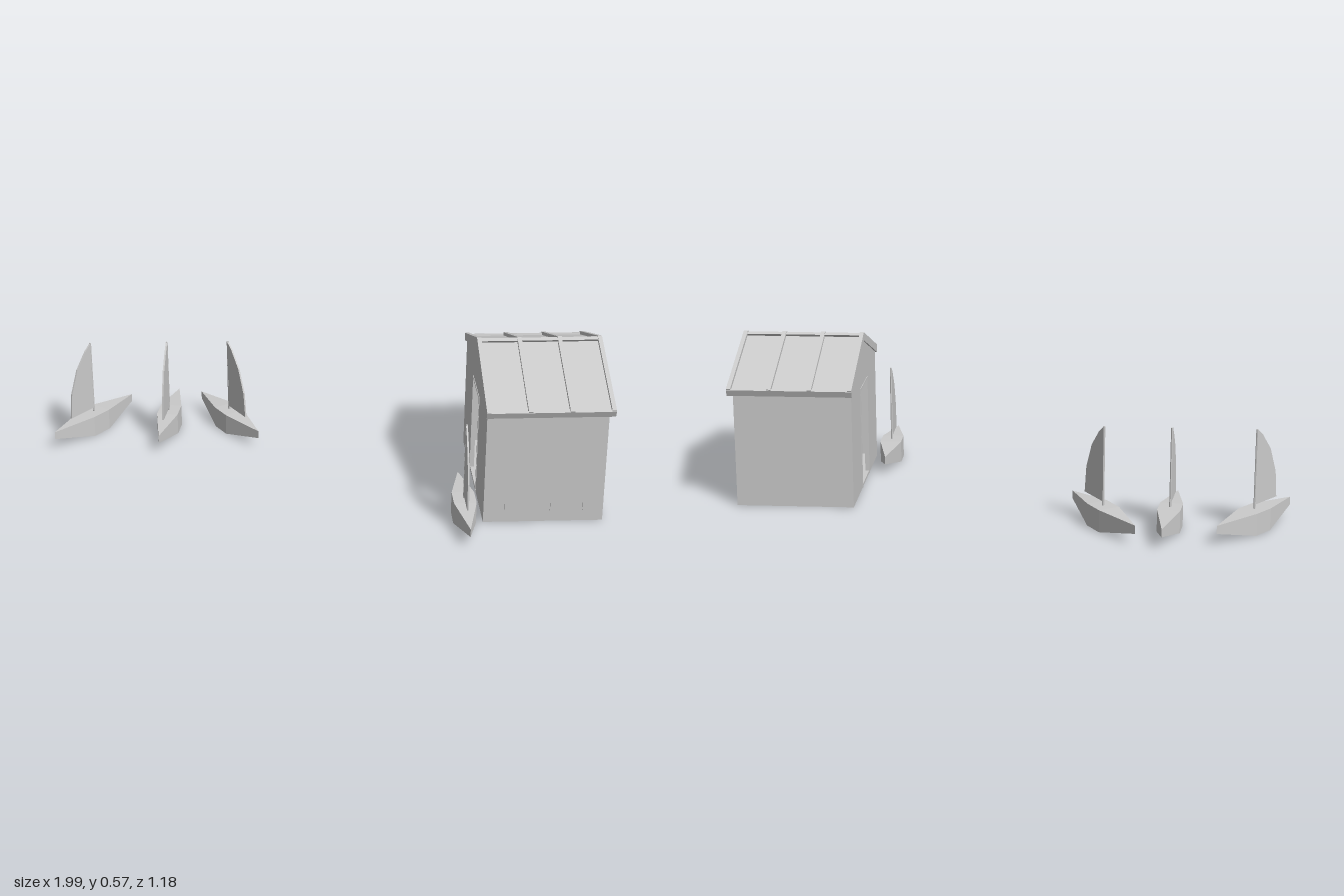
import * as THREE from 'three';

const material = new THREE.MeshStandardMaterial({ color: 0xcccccc, flatShading: true, side: THREE.DoubleSide });

function addMesh(parent, name, geometry, x = 0, y = 0, z = 0) {
  const mesh = new THREE.Mesh(geometry, material);
  mesh.name = name;
  mesh.position.set(x, y, z);
  parent.add(mesh);
  return mesh;
}

const shapeOf = (points) => new THREE.Shape(points.map(([u, v]) => new THREE.Vector2(u, v)));

// Extrudes a (z, y) outline along x, from x0 to x0 + width
function extrudeAlongX(shape, x0, width) {
  const geometry = new THREE.ExtrudeGeometry(shape, { depth: width, bevelEnabled: false });
  return geometry.rotateY(-Math.PI / 2).translate(x0 + width, 0, 0);
}

// Hull: stations of [z, half beam, deck y, chine y]; the underside folds up to a centre line
function hullGeometry() {
  const tunnel = 0.042;
  const stations = [
    [-0.213, 0, 0.071, 0.042], [-0.04, 0.04, 0.08, 0],
    [0.04, 0.04, 0.08, 0], [0.213, 0, 0.071, 0.042],
  ];
  const rings = stations.map(([z, w, top, low]) => [
    [-w, top, z], [w, top, z], [w, low, z], [0, tunnel, z], [-w, low, z],
  ]);
  const positions = [];
  for (let i = 0; i < rings.length - 1; i++) {
    for (let j = 0; j < 5; j++) {
      const k = (j + 1) % 5;
      const a = rings[i][j], b = rings[i][k], c = rings[i + 1][k], d = rings[i + 1][j];
      positions.push(...a, ...d, ...b, ...b, ...d, ...c);
    }
  }
  const geometry = new THREE.BufferGeometry();
  geometry.setAttribute('position', new THREE.Float32BufferAttribute(positions, 3));
  geometry.computeVertexNormals();
  return geometry;
}

const hull = hullGeometry();
const sail = extrudeAlongX(
  shapeOf([[0, 0.095], [0.123, 0.095], [0.113, 0.19], [0.078, 0.28], [0.03, 0.34], [0, 0.365]]), -0.003, 0.006);
const mast = new THREE.CylinderGeometry(0.004, 0.004, 0.3, 6);

function createBoat(x, z, turn) {
  const boat = new THREE.Group();
  boat.name = 'sailboat';
  addMesh(boat, 'hull', hull);
  addMesh(boat, 'mast', mast, 0, 0.215, 0);
  addMesh(boat, 'sail', sail);
  boat.position.set(x, 0, z);
  boat.rotation.y = turn;
  return boat;
}

function createBoathouse() {
  const house = new THREE.Group();
  house.name = 'boathouse';
  const left = 0.555, right = 0.977, front = 0.405, back = -0.225, ridgeZ = 0.09;
  const eave = 0.42, peak = 0.54, t = 0.01;
  const midX = (left + right) / 2, width = right - left;

  // Floor and long walls
  addMesh(house, 'floor', new THREE.BoxGeometry(width, t, front - back), midX, t / 2, ridgeZ);
  for (const [name, z] of [['frontWall', front - t / 2], ['backWall', back + t / 2]]) {
    addMesh(house, name, new THREE.BoxGeometry(width, eave, t), midX, eave / 2, z);
  }

  // Gable walls, one with a doorway open to the ground
  const doorHalf = 0.095, doorTop = 0.38;
  const gableTop = [[front, eave], [ridgeZ, peak], [back, eave], [back, 0]];
  const doorway = [
    [ridgeZ - doorHalf, 0], [ridgeZ - doorHalf, doorTop],
    [ridgeZ + doorHalf, doorTop], [ridgeZ + doorHalf, 0],
  ];
  addMesh(house, 'solidGable', extrudeAlongX(shapeOf([[front, 0], ...gableTop]), right - t, t));
  addMesh(house, 'doorGable', extrudeAlongX(shapeOf([[front, 0], ...gableTop, ...doorway]), left, t));

  // Door frame
  for (const side of [-1, 1]) {
    addMesh(house, 'doorJamb', new THREE.BoxGeometry(0.016, doorTop, 0.008),
      left + 0.006, doorTop / 2, ridgeZ + side * (doorHalf - 0.004));
  }
  addMesh(house, 'doorLintel', new THREE.BoxGeometry(0.016, 0.008, doorHalf * 2), left + 0.006, doorTop - 0.004, ridgeZ);

  // Roof: a bent sheet with raised rafters, ridge caps and eave rails
  const roofLeft = 0.55, roofWidth = 0.445, slope = 0.38;
  const bentBand = (low, high, span) => {
    const inner = span - 0.01;
    return shapeOf([
      [ridgeZ + inner, low - slope * inner], [ridgeZ + span, high - slope * span], [ridgeZ, high],
      [ridgeZ - span, high - slope * span], [ridgeZ - inner, low - slope * inner], [ridgeZ, low],
    ]);
  };
  addMesh(house, 'roofSheet', extrudeAlongX(bentBand(0.54, 0.558, 0.338), roofLeft, roofWidth));
  for (let i = 0; i < 4; i++) {
    const x = roofLeft + i * (roofWidth - 0.015) / 3;
    addMesh(house, 'rafter', extrudeAlongX(bentBand(0.54, 0.571, 0.343), x, 0.015));
  }
  addMesh(house, 'ridgeCap', extrudeAlongX(bentBand(0.55, 0.568, 0.015), roofLeft, roofWidth));
  for (const side of [-1, 1]) {
    const rail = addMesh(house, 'eaveRail', new THREE.BoxGeometry(roofWidth, 0.024, 0.012),
      roofLeft + roofWidth / 2, 0.427, ridgeZ + side * 0.333);
    rail.rotation.x = side * Math.atan(slope);
  }
  return house;
}

export function createModel() {
  const model = new THREE.Group();
  model.name = 'boatyard';
  model.add(createBoathouse());
  // Boats outside, then a row stored inside with bows touching the front wall
  const berths = [
    [-0.862, -0.383, -0.695], [-0.572, -0.382, -0.155], [-0.34, -0.38, 0.548], [0.49, 0.37, 0],
    [0.63, 0.195, 0], [0.79, 0.195, 0], [0.905, 0.195, 0],
  ];
  for (const [x, z, turn] of berths) model.add(createBoat(x, z, turn));
  return model;
}
